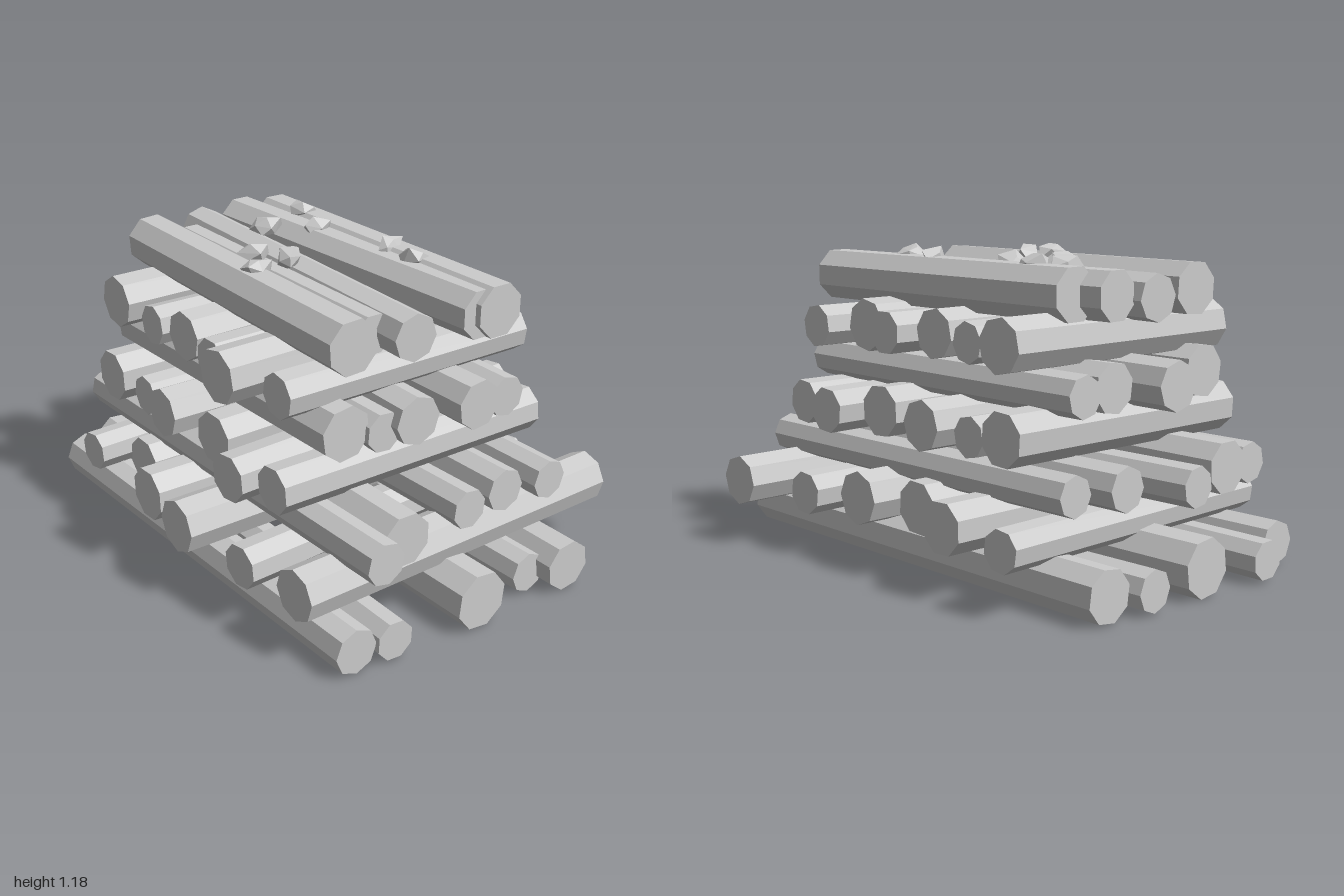
import * as THREE from 'three';
import { ConvexGeometry } from 'three/addons/geometries/ConvexGeometry.js';

// Small seeded generator for natural variation
function seeded(seed) {
  return () => {
    seed = (seed * 16807) % 2147483647;
    return seed / 2147483647;
  };
}

// Logs lying along x: [left x, left z, right x, right z, height, radius]
const acrossLayers = [
  [
    [-0.89, 0.545, 0.94, 0.54, 0.09, 0.085],
    [-1.0, 0.34, 0.96, 0.39, 0.085, 0.075],
    [-0.97, 0.035, 0.985, 0.02, 0.11, 0.11],
    [-0.97, -0.235, 0.92, -0.27, 0.085, 0.077],
    [-0.94, -0.425, 0.99, -0.4, 0.1, 0.097],
  ],
  [
    [-0.83, 0.45, 0.965, 0.44, 0.4, 0.078],
    [-0.855, 0.285, 0.9, 0.3, 0.41, 0.1],
    [-0.945, 0.01, 0.85, -0.03, 0.395, 0.075],
    [-0.82, -0.21, 0.83, -0.22, 0.4, 0.082],
    [-0.76, -0.4, 0.86, -0.41, 0.395, 0.075],
  ],
  [
    [-0.66, 0.38, 0.66, 0.37, 0.73, 0.102],
    [-0.7, 0.21, 0.68, 0.22, 0.7, 0.075],
    [-0.82, 0.045, 0.72, 0.105, 0.725, 0.092],
    [-0.7, -0.15, 0.75, -0.15, 0.725, 0.094],
    [-0.72, -0.315, 0.74, -0.29, 0.715, 0.077],
  ],
  [
    [-0.68, 0.3, 0.67, 0.35, 1.04, 0.102],
    [-0.6, 0.165, 0.585, 0.195, 1.02, 0.076],
    [-0.73, 0.035, 0.7, 0.11, 1.025, 0.087],
    [-0.69, -0.13, 0.7, -0.19, 1.04, 0.095],
    [-0.6, -0.24, 0.725, -0.25, 1.045, 0.102],
  ],
];

// Logs lying along z: [front x, front z, back x, back z, height, radius]
const alongLayers = [
  [
    [-0.615, 0.65, -0.665, -0.655, 0.238, 0.077],
    [-0.375, 0.56, -0.37, -0.655, 0.26, 0.098],
    [-0.13, 0.69, -0.105, -0.54, 0.265, 0.102],
    [0.145, 0.735, 0.15, -0.61, 0.268, 0.102],
    [0.48, 0.69, 0.425, -0.65, 0.248, 0.083],
    [0.755, 0.66, 0.735, -0.74, 0.26, 0.097],
  ],
  [
    [-0.55, 0.58, -0.535, -0.53, 0.573, 0.1],
    [-0.355, 0.55, -0.34, -0.5, 0.55, 0.077],
    [-0.15, 0.6, -0.13, -0.54, 0.568, 0.095],
    [0.165, 0.58, 0.15, -0.5, 0.58, 0.1],
    [0.42, 0.69, 0.375, -0.58, 0.565, 0.088],
    [0.58, 0.62, 0.6, -0.52, 0.565, 0.087],
  ],
  [
    [-0.52, 0.56, -0.515, -0.52, 0.885, 0.1],
    [-0.275, 0.55, -0.255, -0.43, 0.865, 0.077],
    [-0.075, 0.54, -0.09, -0.44, 0.883, 0.094],
    [0.145, 0.57, 0.15, -0.475, 0.87, 0.083],
    [0.3, 0.645, 0.29, -0.45, 0.885, 0.1],
    [0.515, 0.55, 0.535, -0.5, 0.865, 0.083],
  ],
];

// Wood chips: [x, y, z]
const chips = [
  [-0.375, 1.135, -0.22], [-0.19, 1.125, -0.15], [0.16, 1.135, -0.22],
  [0.315, 1.135, -0.2], [-0.34, 1.12, -0.02], [-0.12, 1.11, 0.19],
  [0.03, 1.13, 0.145], [0.07, 1.135, 0.315],
];

export function createModel() {
  const model = new THREE.Group();
  const wood = new THREE.MeshStandardMaterial({ color: 0xcccccc, flatShading: true });
  wood.name = 'plain wood grey';
  const random = seeded(417);

  // One faceted log between two end points
  function addLog(group, name, [x1, z1, x2, z2, y, radius]) {
    const a = new THREE.Vector3(x1, y, z1);
    const b = new THREE.Vector3(x2, y, z2);
    const axis = b.clone().sub(a);
    const geometry = new THREE.CylinderGeometry(radius, radius, axis.length(), 8);
    geometry.rotateY(random() * Math.PI);
    const log = new THREE.Mesh(geometry, wood);
    log.name = name;
    log.position.copy(a).add(b).multiplyScalar(0.5);
    log.quaternion.setFromUnitVectors(new THREE.Vector3(0, 1, 0), axis.normalize());
    group.add(log);
  }

  // Crossed layers of logs
  function addLayers(layers, name) {
    layers.forEach((logs, i) => {
      const layer = new THREE.Group();
      layer.name = `${name}Layer${i + 1}`;
      logs.forEach((log, j) => addLog(layer, `${name}Log${j + 1}`, log));
      model.add(layer);
    });
  }
  addLayers(acrossLayers, 'across');
  addLayers(alongLayers, 'along');

  // Angular splinters scattered on the top layer
  const chipGroup = new THREE.Group();
  chipGroup.name = 'woodChips';
  chips.forEach(([x, y, z], i) => {
    const points = [];
    for (let k = 0; k < 12; k++) {
      const height = 1 - (2 * (k + 0.5)) / 12;
      const ring = Math.sqrt(1 - height * height);
      const angle = k * 2.4 + random() * 0.6;
      const size = 0.8 + random() * 0.4;
      points.push(new THREE.Vector3(
        Math.cos(angle) * ring * 0.04 * size,
        height * 0.045 * size,
        Math.sin(angle) * ring * 0.065 * size,
      ));
    }
    const chip = new THREE.Mesh(new ConvexGeometry(points), wood);
    chip.name = `woodChip${i + 1}`;
    chip.position.set(x, y, z);
    chip.rotation.set(random() * 0.6 - 0.3, random() * 1.6 - 0.8, random() * 0.6 - 0.3);
    chipGroup.add(chip);
  });
  model.add(chipGroup);

  return model;
}
